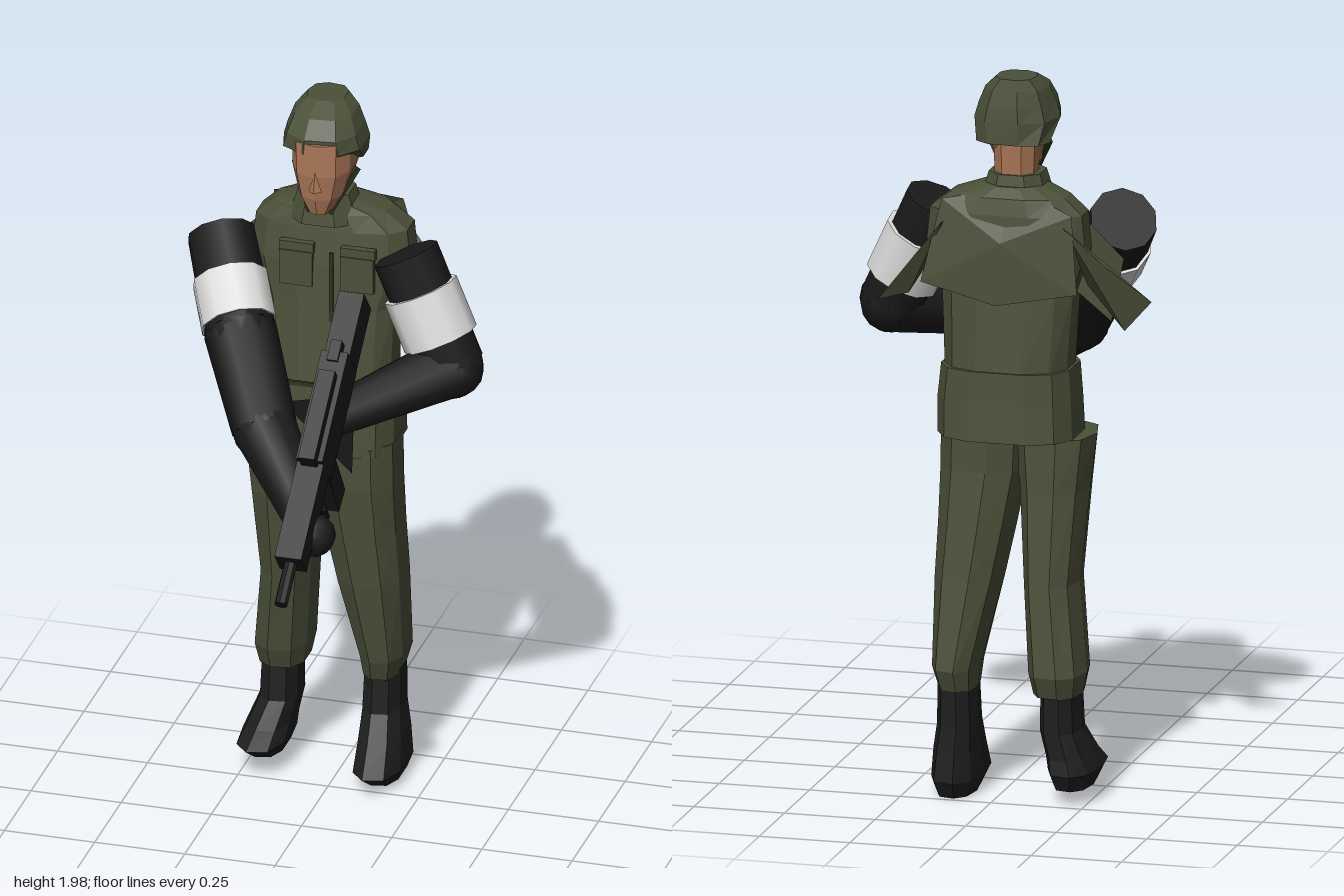
import * as THREE from 'three';

const mat = (name, color, extra = {}) => {
  const m = new THREE.MeshStandardMaterial({ color, ...extra });
  m.name = name;
  return m;
};

// Closed loft through rings [y, cx, cz, rx, rz], listed from bottom to top; p squares off the section
function loft(rings, sides = 10, p = 0.8) {
  const pos = [], idx = [];
  const pow = (v) => Math.sign(v) * Math.abs(v) ** p;
  for (const [y, cx, cz, rx, rz] of rings)
    for (let j = 0; j < sides; j++) {
      const a = ((j + 0.5) / sides) * Math.PI * 2;
      pos.push(cx + rx * pow(Math.cos(a)), y, cz + rz * pow(Math.sin(a)));
    }
  const top = rings.length - 1;
  for (const r of [rings[0], rings[top]]) pos.push(r[1], r[0], r[2]);
  const c0 = rings.length * sides;
  for (let e = 0; e < 2; e++) {
    const r = rings[e * top];
    pos.splice((c0 + e) * 3, 3, r[1], r[0], r[2]);
  }
  for (let j = 0; j < sides; j++) {
    const k = (j + 1) % sides;
    for (let i = 0; i < top; i++) {
      const a = i * sides + j, b = i * sides + k;
      idx.push(a, a + sides, b, b, a + sides, b + sides);
    }
    idx.push(c0, j, k, c0 + 1, top * sides + k, top * sides + j);
  }
  const g = new THREE.BufferGeometry();
  g.setAttribute('position', new THREE.Float32BufferAttribute(pos, 3));
  g.setIndex(idx);
  g.computeVertexNormals();
  return g;
}

// Flat cloth shape fanned from a few corner points
function cloth(points) {
  const g = new THREE.BufferGeometry();
  g.setAttribute('position', new THREE.Float32BufferAttribute(points.flat(), 3));
  const idx = [];
  for (let i = 1; i < points.length - 1; i++) idx.push(0, i, i + 1);
  g.setIndex(idx);
  g.computeVertexNormals();
  return g;
}

export function createModel() {
  const flat = { flatShading: true };
  const open = { flatShading: true, side: THREE.DoubleSide };
  const olive = mat('olive cloth', 0x4b5039, flat);
  const loose = mat('loose olive cloth', 0x494e37, open);
  const darkOlive = mat('dark olive trim', 0x30341f, flat);
  const sleeve = mat('black sleeve', 0x1a1a1a);
  const strap = mat('sling strap', 0x18181a, open);
  const white = mat('white armband', 0xdededc);
  const skin = mat('skin', 0xa87556, flat);
  const leather = mat('boot leather', 0x1e1e1f, flat);
  const metal = mat('gun metal', 0x1d1d1f, flat);

  const model = new THREE.Group();
  model.name = 'soldier';
  const add = (parent, name, geo, m, x = 0, y = 0, z = 0) => {
    const mesh = new THREE.Mesh(geo, m);
    mesh.name = name;
    mesh.position.set(x, y, z);
    parent.add(mesh);
    return mesh;
  };
  // Tapered cylinder between two points
  const bone = (parent, name, a, b, ra, rb, m, sides = 10) => {
    const A = new THREE.Vector3(...a), B = new THREE.Vector3(...b), d = B.clone().sub(A);
    const mesh = add(parent, name, new THREE.CylinderGeometry(rb, ra, d.length(), sides), m);
    mesh.position.copy(A).add(B).multiplyScalar(0.5);
    mesh.quaternion.setFromUnitVectors(new THREE.Vector3(0, 1, 0), d.normalize());
  };

  // Jacket: upper body and skirt in one straight back line
  add(model, 'jacket', loft([
    [1.18, -0.02, -0.378, 0.172, 0.13], [1.4, -0.025, -0.385, 0.185, 0.105],
    [1.52, -0.025, -0.4, 0.225, 0.108], [1.62, -0.025, -0.405, 0.215, 0.095],
    [1.665, -0.03, -0.405, 0.16, 0.085], [1.69, -0.035, -0.39, 0.085, 0.07],
  ], 12, 0.75), olive);
  add(model, 'jacketSkirt', loft([
    [1.0, -0.02, -0.368, 0.19, 0.157], [1.1, -0.018, -0.37, 0.188, 0.148], [1.19, -0.02, -0.372, 0.18, 0.142],
  ], 12, 0.65), olive);
  add(model, 'frontBelt', new THREE.BoxGeometry(0.24, 0.012, 0.008), darkOlive, -0.02, 1.195, -0.236);
  add(model, 'collar', loft([
    [1.64, -0.04, -0.375, 0.1, 0.09], [1.72, -0.04, -0.375, 0.075, 0.075],
  ], 8), olive);
  add(model, 'frontSeam', new THREE.BoxGeometry(0.01, 0.3, 0.008), darkOlive, 0.0, 1.42, -0.282);
  for (const x of [-0.1, 0.07]) {
    add(model, 'chestPocket', new THREE.BoxGeometry(0.09, 0.1, 0.015), olive, x, 1.51, -0.292);
    add(model, 'pocketFlap', new THREE.BoxGeometry(0.095, 0.03, 0.02), olive, x, 1.57, -0.298);
  }
  // Cape across the upper back, and torn shoulder cloth
  add(model, 'backYoke', cloth([
    [-0.03, 1.55, -0.52], [-0.06, 1.69, -0.45], [0.14, 1.655, -0.485], [0.19, 1.43, -0.515], [-0.02, 1.38, -0.527],
    [-0.24, 1.42, -0.51], [-0.22, 1.63, -0.49], [-0.06, 1.69, -0.45],
  ]), loose);
  add(model, 'rightTornCloth', cloth([
    [-0.2, 1.6, -0.5], [-0.31, 1.5, -0.49], [-0.43, 1.4, -0.45], [-0.35, 1.31, -0.43], [-0.24, 1.42, -0.4],
  ]), loose);
  add(model, 'rightTornEdge', cloth([[-0.2, 1.62, -0.37], [-0.34, 1.5, -0.4], [-0.3, 1.32, -0.38], [-0.2, 1.4, -0.38]]), loose);
  add(model, 'leftTornCloth', cloth([[0.13, 1.6, -0.51], [0.32, 1.36, -0.47], [0.24, 1.38, -0.45], [0.17, 1.5, -0.41]]), loose);

  // Head with chin straps and helmet
  const head = new THREE.Group();
  head.name = 'head';
  model.add(head);
  add(head, 'neck', loft([[1.66, -0.04, -0.385, 0.055, 0.055], [1.84, -0.04, -0.385, 0.062, 0.062]], 8), skin);
  add(head, 'face', loft([
    [1.69, -0.033, -0.3, 0.03, 0.045], [1.74, -0.033, -0.322, 0.062, 0.082],
    [1.81, -0.033, -0.34, 0.082, 0.108], [1.9, -0.035, -0.348, 0.085, 0.11],
  ], 10), skin);
  add(head, 'nose', new THREE.ConeGeometry(0.018, 0.055, 4), skin, -0.03, 1.8, -0.23);
  for (const s of [-1, 1])
    bone(head, 'chinStrap', [-0.034 + s * 0.085, 1.8, -0.35], [-0.033 + s * 0.022, 1.69, -0.28], 0.012, 0.014, darkOlive, 4);
  add(head, 'helmet', loft([
    [1.81, -0.04, -0.42, 0.1, 0.06], [1.87, -0.04, -0.362, 0.115, 0.118],
    [1.91, -0.04, -0.36, 0.103, 0.115], [1.955, -0.042, -0.375, 0.085, 0.09], [1.985, -0.045, -0.4, 0.055, 0.058],
  ], 9), olive);

  // Trousers: one loft for each leg, meeting under the skirt
  add(model, 'rightLeg', loft([
    [0.3, -0.165, -0.41, 0.065, 0.09], [0.36, -0.165, -0.41, 0.077, 0.112], [0.6, -0.14, -0.375, 0.073, 0.118],
    [0.85, -0.14, -0.345, 0.092, 0.122], [1.0, -0.14, -0.34, 0.11, 0.122],
  ], 9), olive);
  add(model, 'leftLeg', loft([
    [0.3, 0.11, -0.41, 0.05, 0.09], [0.36, 0.115, -0.41, 0.062, 0.112], [0.6, 0.088, -0.375, 0.092, 0.118],
    [0.75, 0.07, -0.36, 0.105, 0.12], [0.9, 0.055, -0.345, 0.118, 0.122], [1.02, 0.052, -0.345, 0.12, 0.122],
  ], 9), olive);

  // Boots
  for (const [name, x, lean, y] of [['rightBoot', -0.172, -0.03, 0.045], ['leftBoot', 0.112, 0.008, 0.005]])
    add(model, name, loft([
      [y, x + lean, -0.385, 0.05, 0.1], [y + 0.045, x + lean, -0.364, 0.068, 0.148],
      [0.13, x + lean * 0.7, -0.385, 0.062, 0.115], [0.2, x, -0.405, 0.055, 0.088], [0.31, x, -0.412, 0.052, 0.082],
    ], 9), leather);

  // Arms: sleeve segments, rounded joints, armband and fist
  const arm = (name, pts, radii, band, fist) => {
    const g = new THREE.Group();
    g.name = name;
    model.add(g);
    for (let i = 0; i < pts.length - 1; i++) {
      bone(g, 'sleeve', pts[i], pts[i + 1], radii[i], radii[i + 1], sleeve);
      if (i) add(g, 'sleeveJoint', new THREE.SphereGeometry(radii[i], 10, 8), sleeve, ...pts[i]);
    }
    const at = (t) => pts[0].map((v, k) => v + (pts[1][k] - v) * t);
    bone(g, 'armband', at(band[0]), at(band[1]), 0.103, 0.103, white);
    add(g, 'fist', new THREE.IcosahedronGeometry(0.06, 1), sleeve, ...fist);
  };
  arm('rightArm', [[-0.31, 1.58, -0.295], [-0.2, 1.4, -0.1], [-0.085, 1.2, 0.06], [0.1, 1.04, 0.27]],
    [0.092, 0.098, 0.088, 0.06], [0.47, 0.95], [0.122, 1.025, 0.3]);
  arm('leftArm', [[0.205, 1.595, -0.285], [0.345, 1.3, -0.245], [0.08, 1.22, -0.015]],
    [0.09, 0.088, 0.057], [0.32, 0.76], [0.07, 1.215, -0.01]);

  // Rifle, built along z and tipped muzzle-down
  const rifle = new THREE.Group();
  rifle.name = 'rifle';
  rifle.position.set(0.097, 1.226, 0.168);
  rifle.rotation.x = 0.71;
  model.add(rifle);
  const parts = [
    ['stock', 0.07, 0.1, 0.2, -0.02, -0.335],
    ['receiver', 0.074, 0.125, 0.32, -0.005, -0.09],
    ['handguard', 0.074, 0.08, 0.3, 0.0, 0.2],
    ['sight', 0.045, 0.05, 0.26, 0.065, -0.05],
    ['rearSight', 0.03, 0.04, 0.06, 0.045, -0.25],
  ];
  for (const [name, w, h, l, y, z] of parts)
    add(rifle, name, new THREE.BoxGeometry(w, h, l), metal, 0, y, z);
  add(rifle, 'magazine', new THREE.BoxGeometry(0.05, 0.23, 0.07), metal, 0, -0.145, 0.03).rotation.x = -0.12;
  add(rifle, 'grip', new THREE.BoxGeometry(0.045, 0.12, 0.05), metal, 0, -0.09, -0.15).rotation.x = 0.25;
  add(rifle, 'barrel', new THREE.CylinderGeometry(0.018, 0.018, 0.13, 8), metal, 0, 0, 0.405).rotation.x = Math.PI / 2;

  // Loose sling hanging before the chest
  add(model, 'sling', cloth([[-0.1, 1.17, -0.165], [0.1, 1.22, -0.16], [0.09, 0.98, -0.17], [0.07, 1.15, -0.16]]), strap);

  return model;
}
